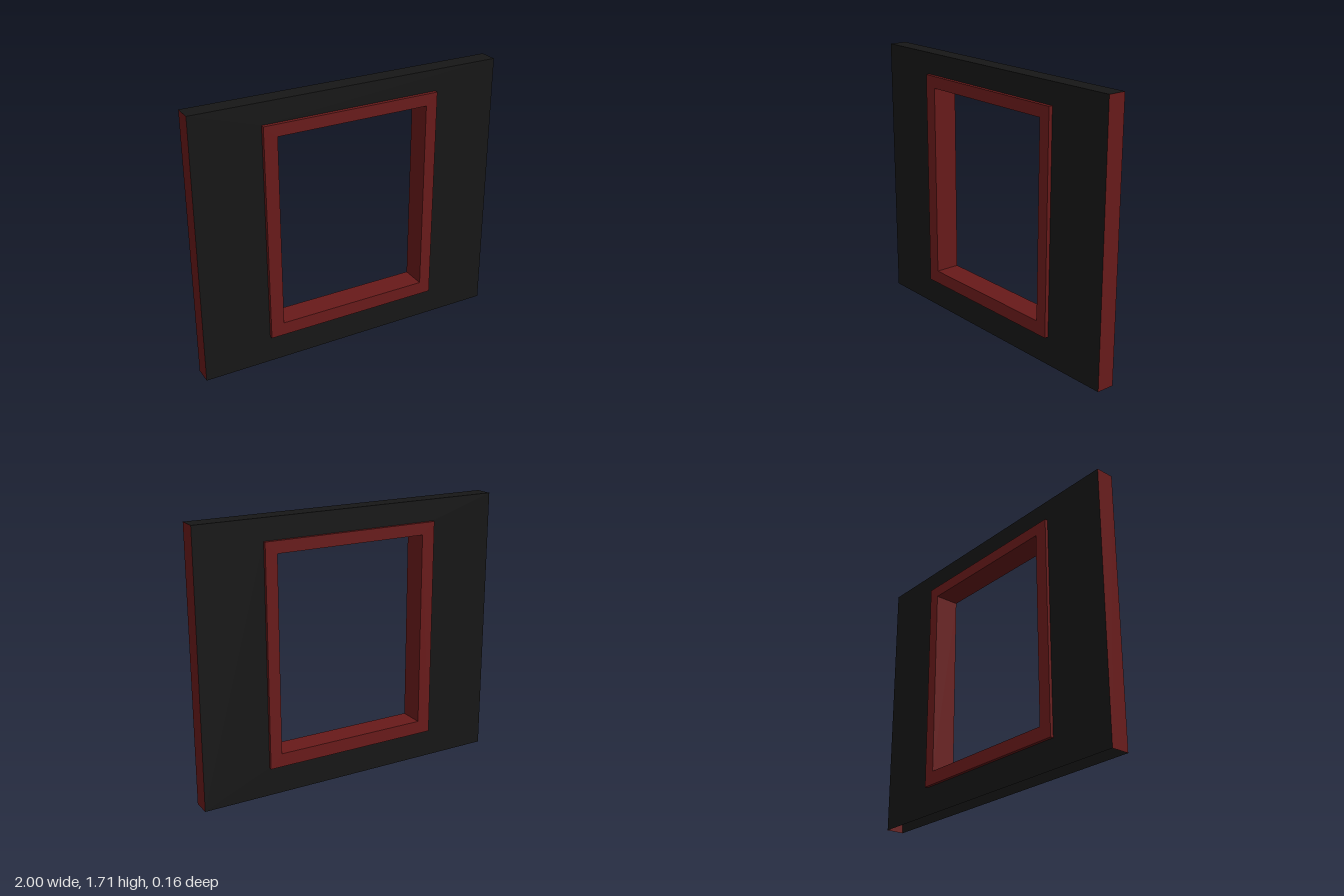
import * as THREE from 'three';

const black = new THREE.MeshStandardMaterial({ color: 0x161616, side: THREE.DoubleSide });
const red = new THREE.MeshStandardMaterial({ color: 0x681a1a, side: THREE.DoubleSide });

const WIDTH = 2, HEIGHT = 1.705;
const FRONT = 0.055, BACK = -0.06;
const DEPTH = FRONT - BACK, MID = (FRONT + BACK) / 2;

// Rectangle with a rectangular opening; each is [x0, y0, x1, y1]
function trace(path, [x0, y0, x1, y1]) {
  path.moveTo(x0, y0);
  path.lineTo(x1, y0);
  path.lineTo(x1, y1);
  path.lineTo(x0, y1);
  path.closePath();
  return path;
}
function ring(outer, inner) {
  const shape = trace(new THREE.Shape(), outer);
  shape.holes.push(trace(new THREE.Path(), inner));
  return shape;
}

export function createModel() {
  const group = new THREE.Group();
  const add = (name, geometry, material, x = 0, y = 0, z = 0) => {
    const mesh = new THREE.Mesh(geometry, material);
    mesh.name = name;
    mesh.position.set(x, y, z);
    group.add(mesh);
    return mesh;
  };

  const frameOuter = [-0.57, 0.18, 0.575, 1.57];
  const frameInner = [-0.485, 0.265, 0.5, 1.495];

  // Hollow wall: two faces with a window opening, open underneath
  const face = ring([-1, 0, 1, HEIGHT], frameOuter);
  add('wallFront', new THREE.ShapeGeometry(face), black, 0, 0, FRONT);
  const back = new THREE.ShapeGeometry(face).rotateY(Math.PI).scale(-1, 1, 1);
  back.setIndex([...back.index.array].reverse()); // restore winding after mirroring
  add('wallBack', back, black, 0, 0, BACK);
  add('wallTop', new THREE.PlaneGeometry(WIDTH, DEPTH).rotateX(-Math.PI / 2), black, 0, HEIGHT, MID);

  // Red wall ends
  for (const [name, side] of [['wallEndLeft', 1], ['wallEndRight', -1]]) {
    const end = new THREE.PlaneGeometry(DEPTH, HEIGHT).rotateY(side * Math.PI / 2);
    add(name, end, red, side * WIDTH / 2, HEIGHT / 2, MID);
  }

  // Window frame standing proud of both faces
  const frame = new THREE.ExtrudeGeometry(ring(frameOuter, frameInner), { depth: 0.16, bevelEnabled: false });
  add('windowFrame', frame, red, 0, 0, -0.08);

  return group;
}
